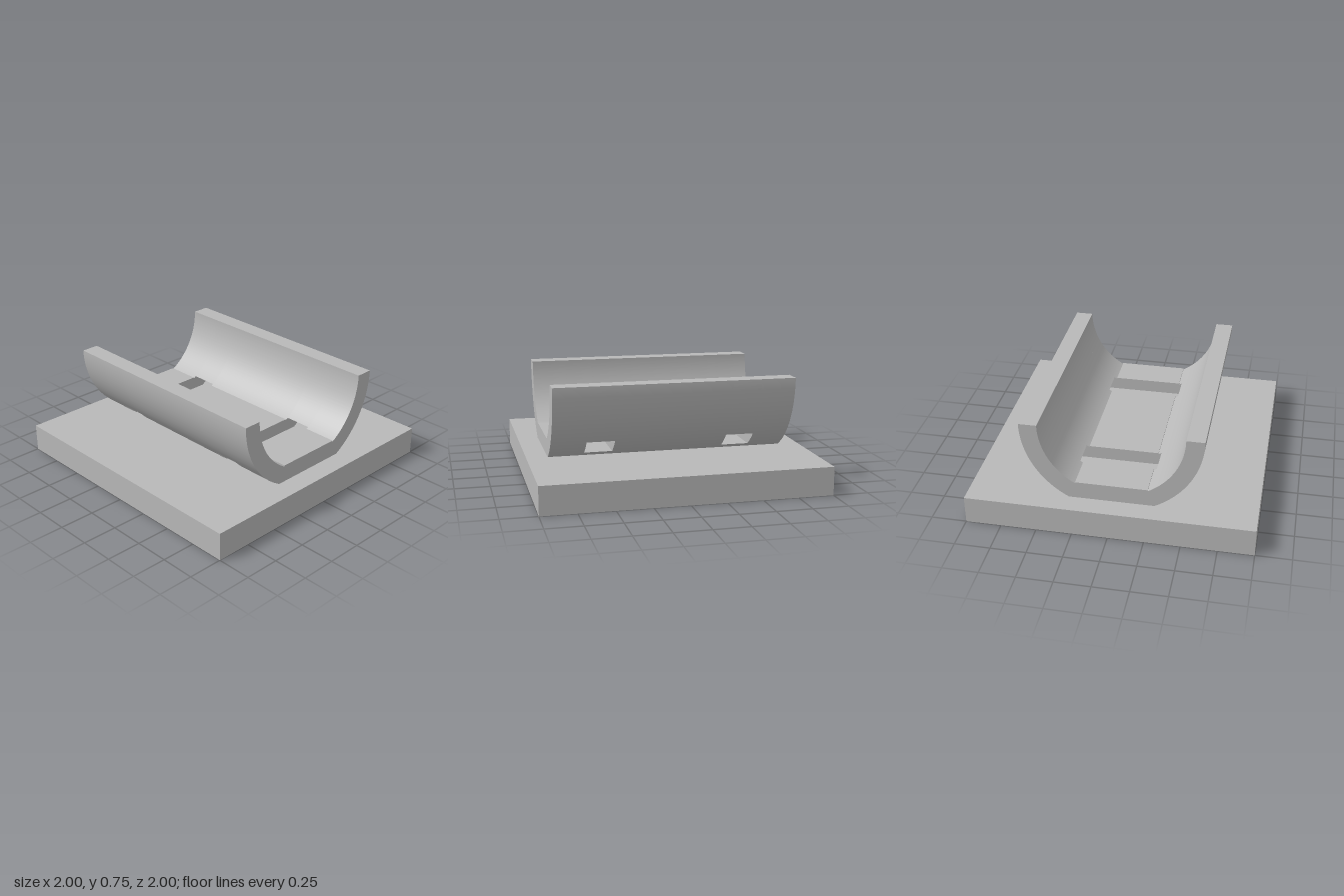
import * as THREE from 'three';
import { toCreasedNormals } from 'three/addons/utils/BufferGeometryUtils.js';

const PI = Math.PI;
const CY = 0.75, INNER = 0.5, OUTER = 0.625;   // trough axis height and radii
const BASE_TOP = 0.2, FLOOR_TOP = 0.325;
const SLOT_LOW = 0.23, SLOT_HIGH = 0.33;

// Angle below the horizontal at which a circle of radius r reaches height y
const drop = (r, y) => Math.asin((CY - y) / r);

// Full trough section: two curved walls joined by a flat floor
function troughProfile() {
  const s = new THREE.Shape();
  const o = drop(OUTER, BASE_TOP), i = PI / 3;
  s.moveTo(-OUTER, CY);
  s.absarc(0, CY, OUTER, PI, PI + o, false);
  s.absarc(0, CY, OUTER, 2 * PI - o, 2 * PI, false);
  s.lineTo(INNER, CY);
  s.absarc(0, CY, INNER, 2 * PI, 2 * PI - i, true);
  s.lineTo(0.25, FLOOR_TOP);
  s.lineTo(-0.25, FLOOR_TOP);
  s.absarc(0, CY, INNER, PI + i, PI, true);
  return s;
}

// Wall section above a strap slot; side is +1 or -1
function upperWallProfile(side) {
  const s = new THREE.Shape();
  const o = drop(OUTER, SLOT_HIGH), i = drop(INNER, SLOT_HIGH);
  const a = side > 0 ? 2 * PI : PI;
  s.moveTo(side * OUTER, CY);
  s.absarc(0, CY, OUTER, a, a - side * o, side > 0);
  s.absarc(0, CY, INNER, a - side * i, a, side < 0);
  return s;
}

// Strip of floor left beneath a strap slot
function slotFloorProfile() {
  const s = new THREE.Shape();
  const hi = drop(OUTER, SLOT_LOW), lo = drop(OUTER, BASE_TOP);
  s.absarc(0, CY, OUTER, PI + hi, PI + lo, false);
  s.absarc(0, CY, OUTER, 2 * PI - lo, 2 * PI - hi, false);
  return s;
}

// Four-armed recess with tapered, rounded arms
function crossPath() {
  const p = new THREE.Path();
  const r = 0.11, c = 0.18;
  const reach = [0.77, 0.54, 0.77, 0.54];
  for (let k = 0; k < 4; k++) {
    const a = k * PI / 2;
    const corner = new THREE.Vector2(c, -c).rotateAround(new THREE.Vector2(), a);
    if (k === 0) p.moveTo(corner.x, corner.y);
    else p.lineTo(corner.x, corner.y);
    p.absarc(reach[k] * Math.cos(a), reach[k] * Math.sin(a), r, a - PI / 2, a + PI / 2, false);
  }
  p.closePath();
  return p;
}

function squareShape(hole) {
  const s = new THREE.Shape();
  s.moveTo(-1, -1);
  s.lineTo(1, -1);
  s.lineTo(1, 1);
  s.lineTo(-1, 1);
  s.closePath();
  if (hole) s.holes.push(hole);
  return s;
}

function extrude(shape, depth) {
  const g = new THREE.ExtrudeGeometry(shape, { depth, bevelEnabled: false, curveSegments: 32 });
  return toCreasedNormals(g, PI / 6);
}

export function createModel() {
  const model = new THREE.Group();
  model.name = 'cradleMount';
  const grey = new THREE.MeshStandardMaterial({ color: 0xb8b8b8 });
  grey.name = 'plain grey';

  const add = (parent, name, geometry) => {
    const mesh = new THREE.Mesh(geometry, grey);
    mesh.name = name;
    parent.add(mesh);
  };

  // Base plate in layers: cross recess, round pocket, closed top
  const base = new THREE.Group();
  base.name = 'basePlate';
  const pocket = new THREE.Path();
  pocket.absarc(0, 0, 0.157, 0, 2 * PI, false);
  const layers = [
    ['crossRecessLayer', crossPath(), 0, 0.1],
    ['roundPocketLayer', pocket, 0.1, 0.18],
    ['topLayer', null, 0.18, BASE_TOP],
  ];
  for (const [name, hole, y0, y1] of layers) {
    add(base, name, extrude(squareShape(hole), y1 - y0).rotateX(-PI / 2).translate(0, y0, 0));
  }
  model.add(base);

  // Trough along z, cut across by two strap slots
  const trough = new THREE.Group();
  trough.name = 'trough';
  const section = (name, shape, z0, z1) =>
    add(trough, name, extrude(shape, z1 - z0).translate(0, 0, z0));
  for (const [z0, z1] of [[-0.85, -0.6], [-0.4, 0.4], [0.6, 0.85]]) {
    section('troughSection', troughProfile(), z0, z1);
  }
  for (const z0 of [-0.6, 0.4]) {
    section('leftWallOverSlot', upperWallProfile(1), z0, z0 + 0.2);
    section('rightWallOverSlot', upperWallProfile(-1), z0, z0 + 0.2);
    section('slotFloor', slotFloorProfile(), z0, z0 + 0.2);
  }
  model.add(trough);
  return model;
}
